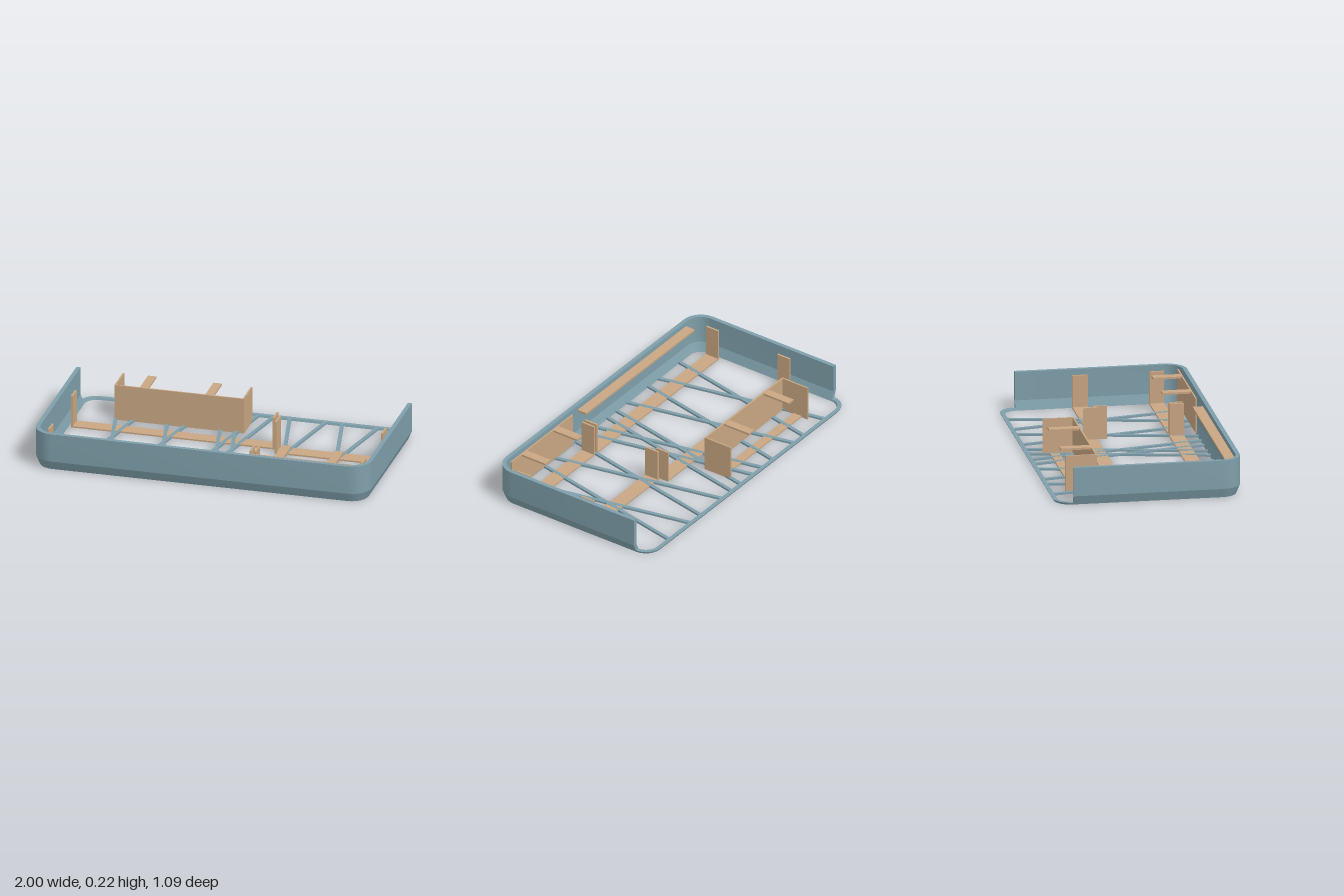
import * as THREE from 'three';
import { toCreasedNormals } from 'three/addons/utils/BufferGeometryUtils.js';

const blue = new THREE.MeshStandardMaterial({ color: 0x7f9faa });
blue.name = 'greyBlue';
const tan = new THREE.MeshStandardMaterial({ color: 0xc8a682 });
tan.name = 'tan';

// Rounded-rectangle outline of the tray
const R = 0.12, CX = 0.88, FRONT = 0.425, BACK = -0.442, SEG = 6;

// Corner stations: arc centre plus outward direction
function corner(cx, cz, from) {
  return Array.from({ length: SEG + 1 }, (_, i) => {
    const a = from + (i / SEG) * Math.PI / 2;
    return [cx, cz, Math.cos(a), Math.sin(a)];
  });
}

// Sweep a section of [inset, height] points along the stations, with end caps
function sweep(stations, section) {
  const n = section.length, pos = [];
  const pt = (i, j) => {
    const [cx, cz, dx, dz] = stations[i], [inset, y] = section[j % n];
    return [cx + dx * (R - inset), y, cz + dz * (R - inset)];
  };
  const quad = (a, b, c, d) => pos.push(...a, ...b, ...c, ...a, ...c, ...d);
  const last = stations.length - 1;
  for (let i = 0; i < last; i++) {
    for (let j = 0; j < n; j++) quad(pt(i, j), pt(i, j + 1), pt(i + 1, j + 1), pt(i + 1, j));
  }
  for (let j = 0; j < n / 2 - 1; j++) {
    const q = [j, j + 1, n - 2 - j, n - 1 - j];
    quad(...q.map(k => pt(last, k)));
    quad(...q.slice().reverse().map(k => pt(0, k)));
  }
  const g = new THREE.BufferGeometry();
  g.setAttribute('position', new THREE.Float32BufferAttribute(pos, 3));
  return toCreasedNormals(g, 0.32);
}

export function createModel() {
  const model = new THREE.Group();
  model.name = 'trayFrame';

  const add = (name, geometry, material, parent = model) => {
    const m = new THREE.Mesh(geometry, material);
    m.name = name;
    parent.add(m);
    return m;
  };
  // Box given by its limits on each axis
  const box = (name, x0, x1, y0, y1, z0, z1, parent) => {
    const m = add(name, new THREE.BoxGeometry(x1 - x0, y1 - y0, z1 - z0), tan, parent);
    m.position.set((x0 + x1) / 2, (y0 + y1) / 2, (z0 + z1) / 2);
  };
  const group = name => {
    const g = new THREE.Group();
    g.name = name;
    model.add(g);
    return g;
  };

  // Tall wall round the sides and front, with a chamfered foot
  add('wall', sweep(
    [[CX, BACK, 1, 0], ...corner(CX, FRONT, 0), ...corner(-CX, FRONT, Math.PI / 2), [-CX, BACK, -1, 0]],
    [[0.022, 0], [0, 0.055], [0, 0.225], [0.025, 0.225], [0.025, 0.055], [0.047, 0]],
  ), blue);

  // Low lip closing the open back
  add('backLip', sweep(
    [...corner(-CX, BACK, Math.PI), ...corner(CX, BACK, Math.PI * 1.5)],
    [[0.022, 0], [0.017, 0.012], [0.042, 0.012], [0.047, 0]],
  ), blue);

  // Floor lattice of crossing bars, each a sheared box
  const lattice = group('floorLattice');
  const lean = 0.21, z0 = -0.522, z1 = 0.503;
  for (const x of [-0.667, -0.36, -0.045, 0.045, 0.353, 0.665]) {
    for (const s of [-1, 1]) {
      const g = new THREE.BoxGeometry(0.022, 0.012, z1 - z0);
      const p = g.attributes.position;
      for (let i = 0; i < p.count; i++) p.setX(i, p.getX(i) + s * lean * p.getZ(i) / (z1 - z0));
      g.computeVertexNormals();
      add('latticeBar', g, blue, lattice).position.set(x, 0.006, (z0 + z1) / 2);
    }
  }

  // Floor rails with an upright at each end
  for (const [x0, x1, za, zb] of [
    [-0.935, 0.278, -0.168, -0.083], [0.295, 0.94, -0.115, -0.025],
    [-0.935, 0.278, 0.335, 0.42], [0.295, 0.94, 0.335, 0.42],
  ]) {
    const rail = group('rail');
    box('railStrip', x0, x1, 0.002, 0.011, za, zb, rail);
    box('railUpright', x0, x0 + 0.012, 0.002, 0.2, za, zb, rail);
    box('railUpright', x1 - 0.012, x1, 0.002, 0.2, za, zb, rail);
  }

  // Back bracket: tall panel, side wings, floor strip and top tabs
  const back = group('backBracket');
  box('panel', -0.725, 0.048, 0.002, 0.217, -0.27, -0.26, back);
  for (const x of [-0.725, 0.038]) box('wing', x, x + 0.01, 0.002, 0.217, -0.445, -0.27, back);
  box('floorStrip', -0.715, 0.038, 0.002, 0.011, -0.402, -0.348, back);
  for (const x of [-0.55, -0.16]) box('tab', x - 0.025, x + 0.025, 0.205, 0.217, -0.445, -0.27, back);

  // Front bracket: panel against the wall with top tabs
  const front = group('frontBracket');
  box('panel', 0.292, 0.9, 0.012, 0.217, 0.491, 0.5, front);
  for (const x of [0.463, 0.775]) box('tab', x - 0.026, x + 0.026, 0.205, 0.217, 0.325, 0.491, front);

  // Ledge along the inside of the front wall
  box('frontLedge', -0.867, 0.208, 0.183, 0.195, 0.46, 0.522);

  return model;
}
